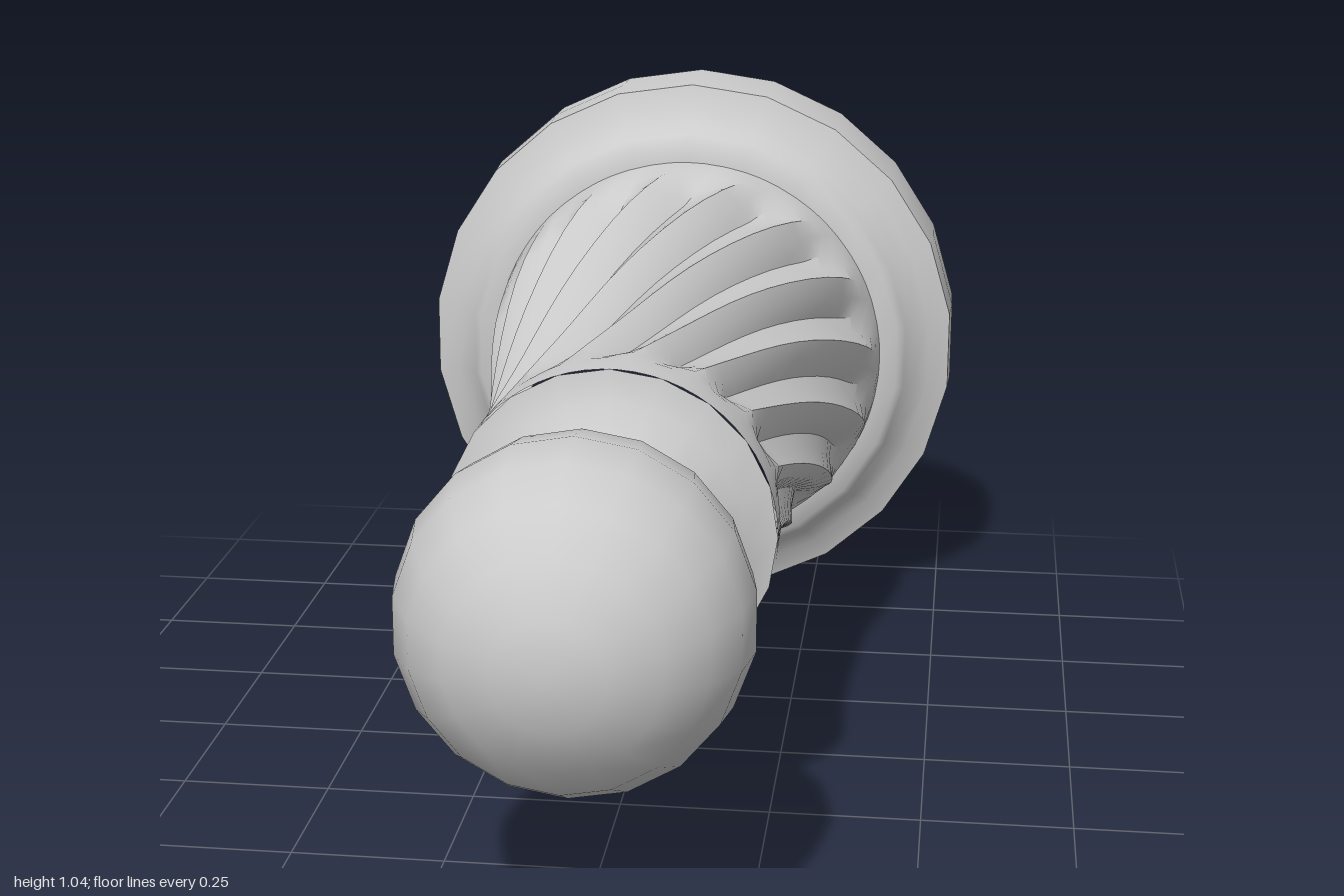
import * as THREE from 'three';
import { mergeVertices, toCreasedNormals } from 'three/addons/utils/BufferGeometryUtils.js';

const AXIS_Y = 0.518;
const FLUTES = 16;
const material = new THREE.MeshStandardMaterial({ color: 0xcccccc });

// Turned solid from [radius, z] pairs, ordered from back to front
function turned(profile, segments) {
  return new THREE.LatheGeometry(profile.map(([r, z]) => new THREE.Vector2(r, z)), segments);
}

// Lay the turning axis along z and smooth all but the sharp edges
function addPart(group, name, geometry, creaseAngle) {
  geometry.deleteAttribute('uv');
  geometry.deleteAttribute('normal');
  const smooth = toCreasedNormals(mergeVertices(geometry, 1e-4), creaseAngle);
  smooth.rotateX(Math.PI / 2);
  const mesh = new THREE.Mesh(smooth, material);
  mesh.name = name;
  mesh.position.y = AXIS_Y;
  group.add(mesh);
}

// Tapered shaft with spiral flutes that fade out at both ends
function flutedShaft() {
  const outline = new THREE.CatmullRomCurve3([
    [0.38, -0.75], [0.365, -0.6], [0.312, -0.3], [0.27, 0], [0.262, 0.2], [0.265, 0.365],
  ].map(([r, z]) => new THREE.Vector3(r, z, 0)));
  const profile = outline.getPoints(20).map((p) => [p.x, p.y]);
  const cut = [0, 0.6, 1, 0.4];
  const geometry = turned(profile, FLUTES * cut.length);
  const pos = geometry.attributes.position;
  const rows = profile.length;
  for (let i = 0; i < pos.count; i++) {
    const column = Math.floor(i / rows);
    const [r, z] = profile[i % rows];
    const fade = THREE.MathUtils.smoothstep(z, -0.73, -0.58) * (1 - THREE.MathUtils.smoothstep(z, 0.14, 0.3));
    const radius = r - 0.12 * r * fade * cut[column % cut.length];
    const angle = (column / (FLUTES * cut.length)) * Math.PI * 2 + (z + 0.75) * 1.1;
    pos.setXYZ(i, radius * Math.sin(angle), z, radius * Math.cos(angle));
  }
  return geometry;
}

export function createModel() {
  const group = new THREE.Group();
  group.name = 'turnedPiece';

  // Wide foot with a stepped shoulder
  addPart(group, 'base', turned([
    [0, -1], [0.518, -1], [0.52, -0.9], [0.516, -0.82], [0.475, -0.805],
    [0.445, -0.78], [0.43, -0.76], [0.415, -0.74], [0.36, -0.738],
  ], 22), 0.9);

  addPart(group, 'flutedShaft', flutedShaft(), 0.75);

  // Collar narrowing to the neck
  addPart(group, 'neck', turned([
    [0.265, 0.364], [0.215, 0.375], [0.16, 0.43], [0.11, 0.48], [0.1, 0.5],
  ], 20), 0.9);

  // Ball head
  const ball = [];
  for (let i = 0; i <= 10; i++) {
    const a = (i / 10) * Math.PI;
    ball.push([Math.max(0, 0.267 * Math.sin(a)), 0.734 - 0.266 * Math.cos(a)]);
  }
  addPart(group, 'ballHead', turned(ball, 18), 1.2);

  return group;
}
